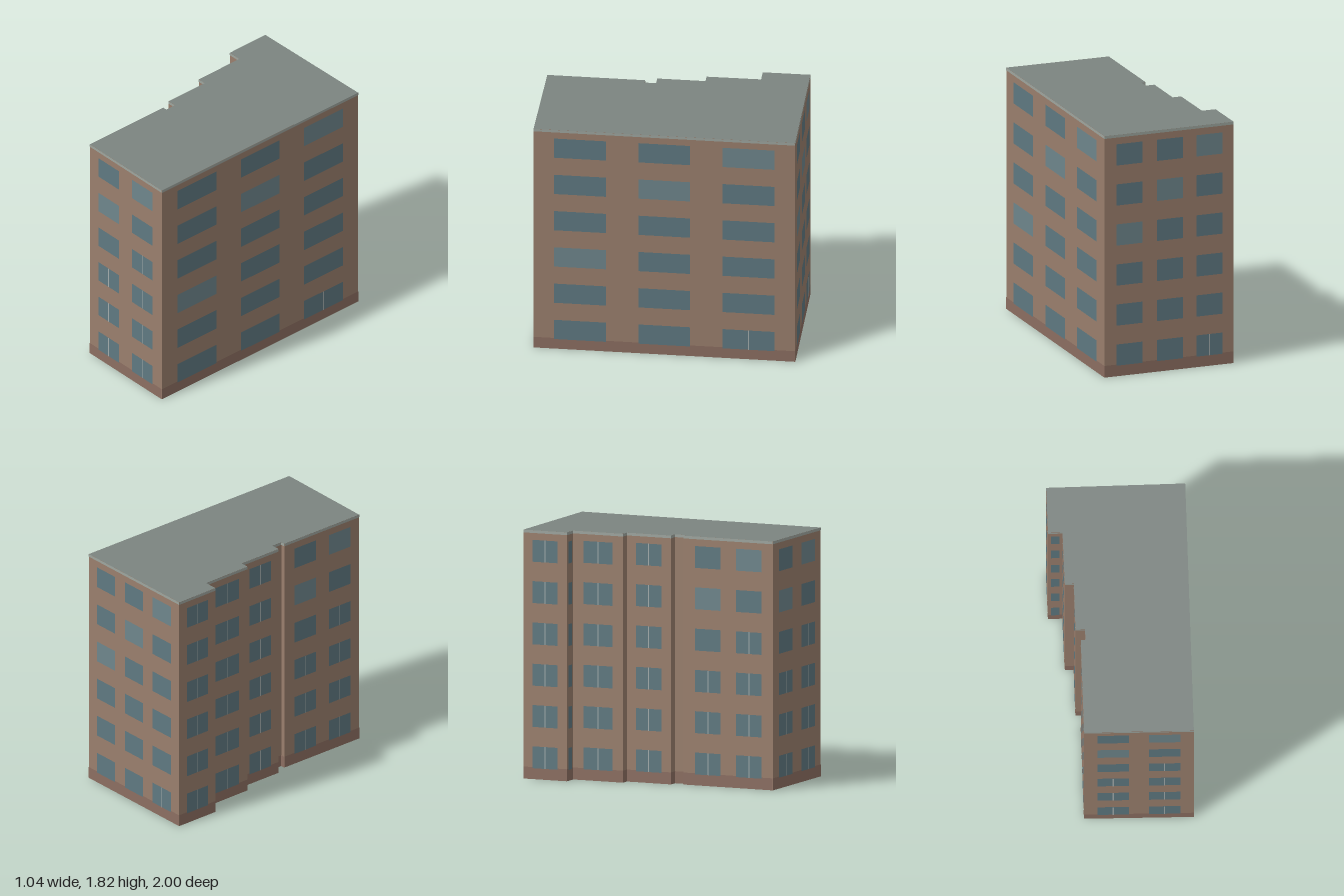
import * as THREE from 'three';

const HEIGHT = 1.82, FLOORS = 6, STOREY = 0.302, SILL = 0.08, WINDOW_H = 0.16;

const paint = (color) => new THREE.MeshStandardMaterial({ color });
const mats = {
  wall: paint(0x9a7f6d), plinth: paint(0x8c6e61), trim: paint(0x9ea69f), roof: paint(0x7c8480),
  glass: paint(0x5f7981), paleGlass: paint(0x6e868c), mullion: paint(0xa3adad),
};
mats.wall.side = THREE.DoubleSide;
mats.roof.side = THREE.DoubleSide;

// Footprint corners (x, z), listed so each wall runs left to right seen from outside.
// cols: [centre, width] of each window column as a fraction of the wall.
// split: how many lower floors have a mullion, per column. pale: floor with lighter glass, per column.
const walls = [
  { name: 'frontWall', at: [-0.471, 0.905], cols: [[0.265, 0.286], [0.733, 0.286]], split: [3, 4], pale: [4, 5] },
  { name: 'longSideWall', at: [0.318, 1.0], cols: [[0.178, 0.198], [0.5, 0.198], [0.822, 0.198]], split: [0, 0, 1], pale: [2, 4, 5] },
  { name: 'backWall', at: [0.518, -0.895], cols: [[0.193, 0.2], [0.505, 0.2], [0.811, 0.2]], split: [0, 0, 1], pale: [3, 4, 5] },
  { name: 'rearBayWall', at: [-0.484, -1.0], cols: [[0.5, 0.58]], split: [6], pale: [] },
  { name: 'rearBayReturn', at: [-0.518, -0.655], cols: [[0.5, 0.56]], split: [0], pale: [] },
  { name: 'middleBayWall', at: [-0.414, -0.643], cols: [[0.5, 0.58]], split: [6], pale: [] },
  { name: 'middleBayReturn', at: [-0.452, -0.248], cols: [] },
  { name: 'innerBayWall', at: [-0.387, -0.241], cols: [[0.5, 0.58]], split: [6], pale: [] },
  { name: 'slotRearWall', at: [-0.423, 0.109], cols: [] },
  { name: 'slotInnerWall', at: [-0.355, 0.117], cols: [] },
  { name: 'slotFrontWall', at: [-0.363, 0.2], cols: [] },
  { name: 'frontBayWall', at: [-0.397, 0.196], cols: [[0.275, 0.286], [0.735, 0.286]], split: [3, 4], pale: [4, 5] },
];

// Flat panel in a wall's own plane: x centre, bottom, width, height, small lift off the wall
function panel(name, mat, x, y, w, h, lift = 0) {
  const mesh = new THREE.Mesh(new THREE.PlaneGeometry(w, h), mat);
  mesh.name = name;
  mesh.position.set(x, y + h / 2, lift);
  return mesh;
}

function buildWall(spec, next) {
  const [x0, z0] = spec.at, [x1, z1] = next.at;
  const len = Math.hypot(x1 - x0, z1 - z0);
  const g = new THREE.Group();
  g.name = spec.name;
  g.position.set((x0 + x1) / 2, 0, (z0 + z1) / 2);
  g.rotation.y = Math.atan2(z0 - z1, x1 - x0);

  g.add(panel('wallFace', mats.wall, 0, 0, len, HEIGHT));
  g.add(panel('plinth', mats.plinth, 0, 0, len, 0.088, 0.0015));
  g.add(panel('roofTrim', mats.trim, 0, HEIGHT - 0.02, len, 0.02, 0.0015));

  // Window grid, one column at a time
  spec.cols.forEach(([centre, width], c) => {
    const x = (centre - 0.5) * len;
    for (let f = 0; f < FLOORS; f++) {
      const y = SILL + f * STOREY;
      const glass = spec.pale[c] === f ? mats.paleGlass : mats.glass;
      g.add(panel('window', glass, x, y, width * len, WINDOW_H, 0.003));
      if (f < spec.split[c]) g.add(panel('mullion', mats.mullion, x, y, 0.008, WINDOW_H, 0.0045));
    }
  });
  return g;
}

export function createModel() {
  const model = new THREE.Group();
  model.name = 'apartmentBlock';

  walls.forEach((w, i) => model.add(buildWall(w, walls[(i + 1) % walls.length])));

  // Flat roof over the stepped footprint
  const outline = new THREE.Shape(walls.map(({ at: [x, z] }) => new THREE.Vector2(x, -z)));
  const roof = new THREE.Mesh(new THREE.ShapeGeometry(outline), mats.roof);
  roof.name = 'roof';
  roof.rotation.x = -Math.PI / 2;
  roof.position.y = HEIGHT;
  model.add(roof);

  return model;
}
